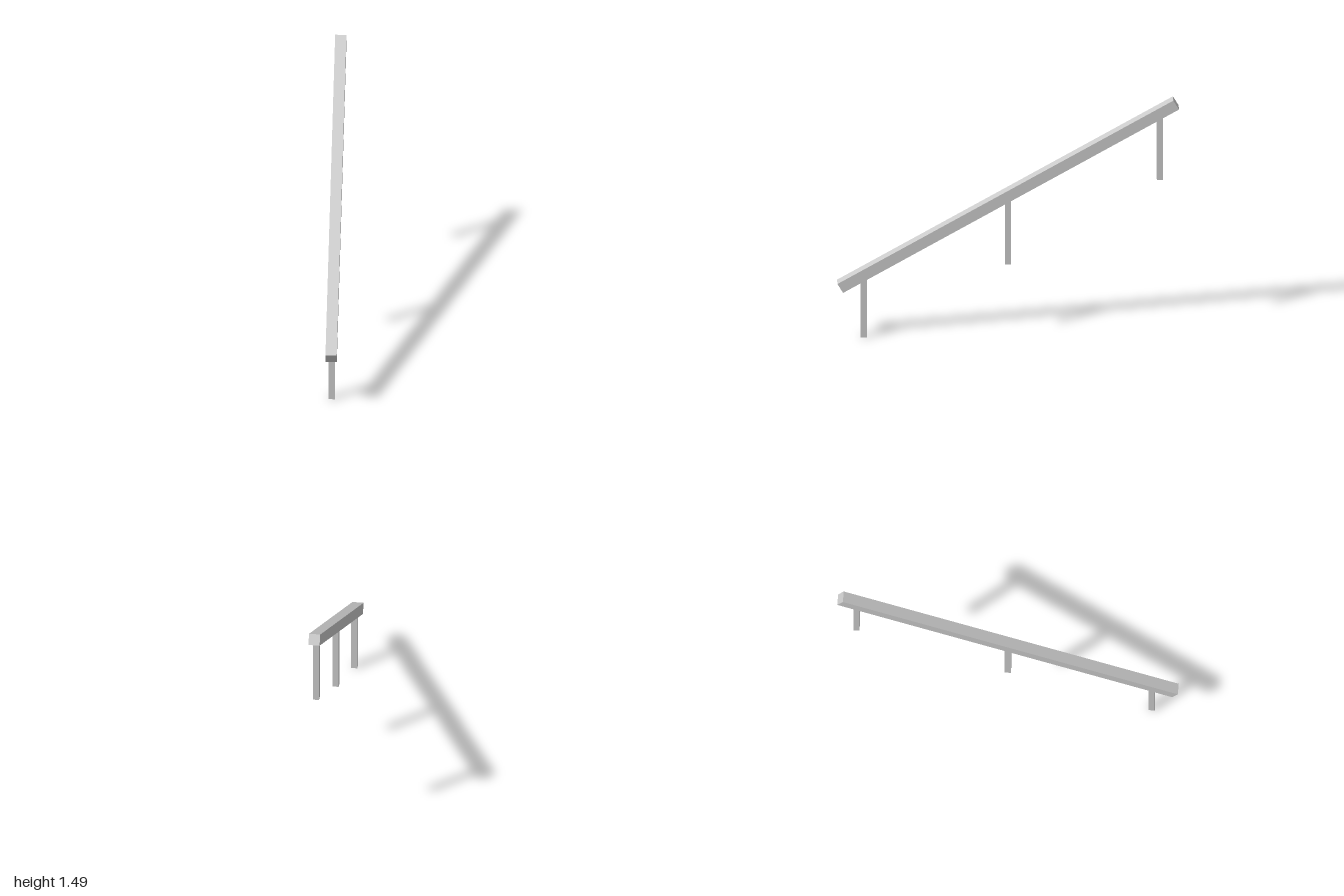
import * as THREE from 'three';

const SLOPE = Math.PI / 6;
const RAIL = { size: 0.066, length: 2.271, midY: 0.889 };
const POST_WIDTH = 0.036;

export function createModel() {
  const group = new THREE.Group();
  group.name = 'handrail';
  const material = new THREE.MeshStandardMaterial({ color: 0xcccccc, flatShading: true });

  // Sloping square rail, low at the front and high at the back
  const rail = new THREE.Mesh(new THREE.BoxGeometry(RAIL.size, RAIL.size, RAIL.length), material);
  rail.name = 'rail';
  rail.position.y = RAIL.midY;
  rail.rotation.x = SLOPE;
  group.add(rail);

  // Height of the rail's underside at a given z
  const underside = (z) => RAIL.midY - RAIL.size / 2 / Math.cos(SLOPE) - z * Math.tan(SLOPE);

  // Upright posts, their tops just sunk into the rail
  const posts = [
    ['frontPost', 0.845, 0],
    ['middlePost', 0, 0.453],
    ['backPost', -0.889, 0.975],
  ];
  for (const [name, z, bottom] of posts) {
    const top = underside(z) + 0.012;
    const post = new THREE.Mesh(new THREE.BoxGeometry(POST_WIDTH, top - bottom, POST_WIDTH), material);
    post.name = name;
    post.position.set(0, (top + bottom) / 2, z);
    group.add(post);
  }
  return group;
}
